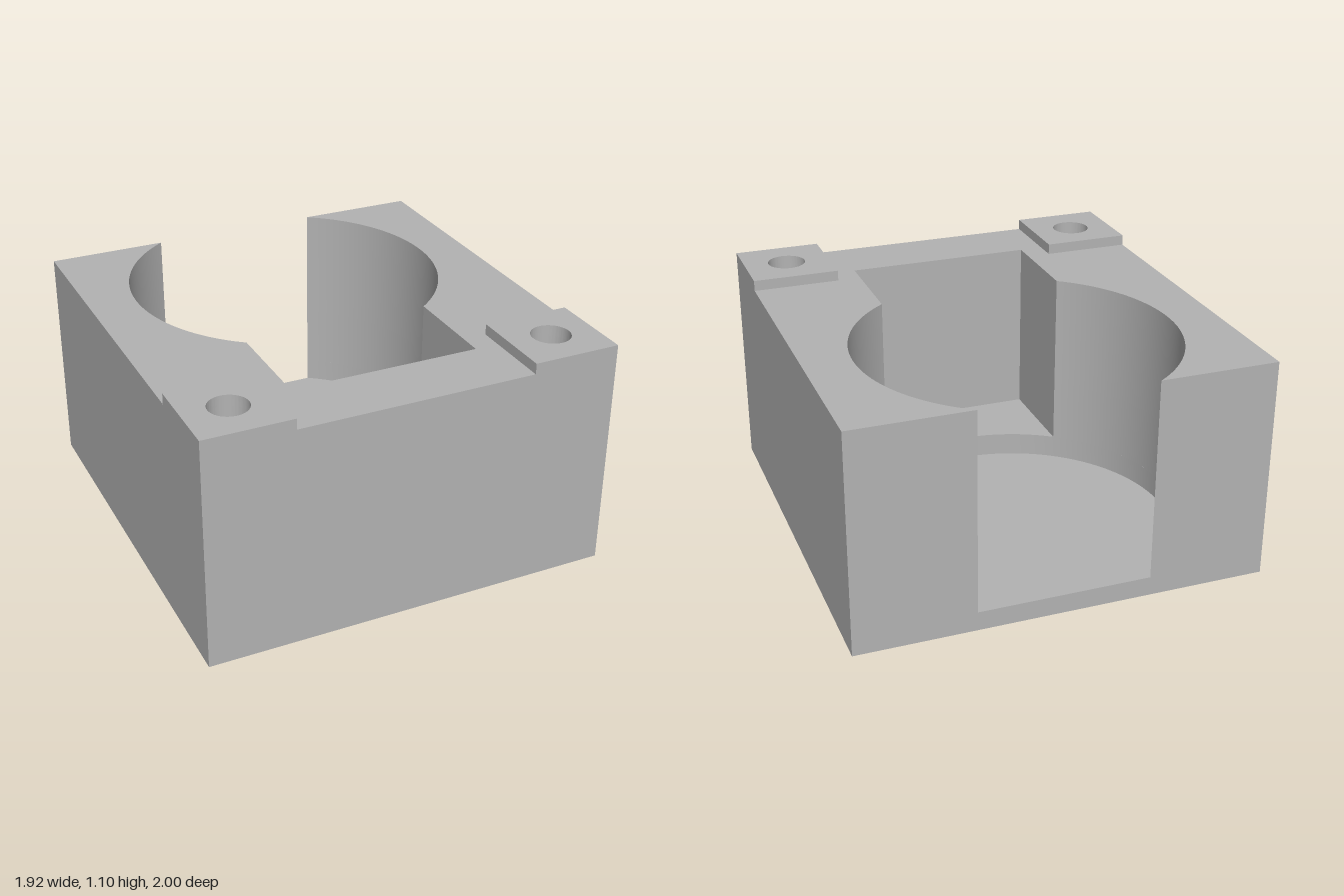
import * as THREE from 'three';
import { toCreasedNormals } from 'three/addons/utils/BufferGeometryUtils.js';

const W = 0.96, D = 1;                // half width, half depth
const R = 0.74, CZ = -0.38;           // round pocket
const SLOT_X = 0.44, SLOT_Z = 0.69;   // rectangular pocket
const HOLE_X = 0.755, HOLE_Z = 0.79;  // screw holes
const FLOOR = 0.09, SLOT_FLOOR = 0.2, BORE_TOP = 0.5, DECK = 1.045, TOP = 1.095;

// Plan outline, drawn with shape y = -z
function outline(round, slot) {
  const s = new THREE.Shape();
  s.moveTo(-W, -D);
  s.lineTo(W, -D);
  s.lineTo(W, D);
  if (round) {
    const a = Math.asin((D + CZ) / R);
    const b = Math.acos(SLOT_X / R);
    if (slot) {
      s.absarc(0, -CZ, R, a, -b, true);
      s.lineTo(SLOT_X, -SLOT_Z);
      s.lineTo(-SLOT_X, -SLOT_Z);
      s.absarc(0, -CZ, R, Math.PI + b, Math.PI - a, true);
    } else {
      s.absarc(0, -CZ, R, a, -Math.PI - a, true);
    }
  }
  s.lineTo(-W, D);
  s.closePath();
  return s;
}

function addHole(shape, x, r) {
  const hole = new THREE.Path();
  hole.absarc(x, -HOLE_Z, r, 0, Math.PI * 2, true);
  shape.holes.push(hole);
  return shape;
}

export function createModel() {
  const group = new THREE.Group();
  group.name = 'mountingBlock';
  const grey = new THREE.MeshStandardMaterial({ color: 0xb3b3b3 });
  grey.name = 'grey';

  const addLayer = (name, shape, y0, y1) => {
    const geo = new THREE.ExtrudeGeometry(shape, { depth: y1 - y0, bevelEnabled: false, curveSegments: 64 });
    geo.rotateX(-Math.PI / 2);
    geo.translate(0, y0, 0);
    const mesh = new THREE.Mesh(toCreasedNormals(geo, 0.5), grey);
    mesh.name = name;
    group.add(mesh);
  };

  // Body, stacked from the base up: [name, round pocket, slot, hole radius, bottom, top]
  const layers = [
    ['base', false, false, 0.165, 0, FLOOR],
    ['pocketFloorLayer', true, false, 0.165, FLOOR, SLOT_FLOOR],
    ['lowerWalls', true, true, 0.165, SLOT_FLOOR, BORE_TOP],
    ['upperWalls', true, true, 0.09, BORE_TOP, DECK],
  ];
  for (const [name, round, slot, r, y0, y1] of layers) {
    const shape = outline(round, slot);
    addHole(shape, HOLE_X, r);
    addHole(shape, -HOLE_X, r);
    addLayer(name, shape, y0, y1);
  }

  // Raised pads around the screw holes at the front corners
  for (const side of [-1, 1]) {
    const x0 = side < 0 ? -W : 0.55, x1 = side < 0 ? -0.55 : W;
    const pad = new THREE.Shape([
      new THREE.Vector2(x0, -D), new THREE.Vector2(x1, -D),
      new THREE.Vector2(x1, -0.585), new THREE.Vector2(x0, -0.585),
    ]);
    addLayer(side < 0 ? 'rightPad' : 'leftPad', addHole(pad, side * HOLE_X, 0.09), DECK, TOP);
  }
  return group;
}
